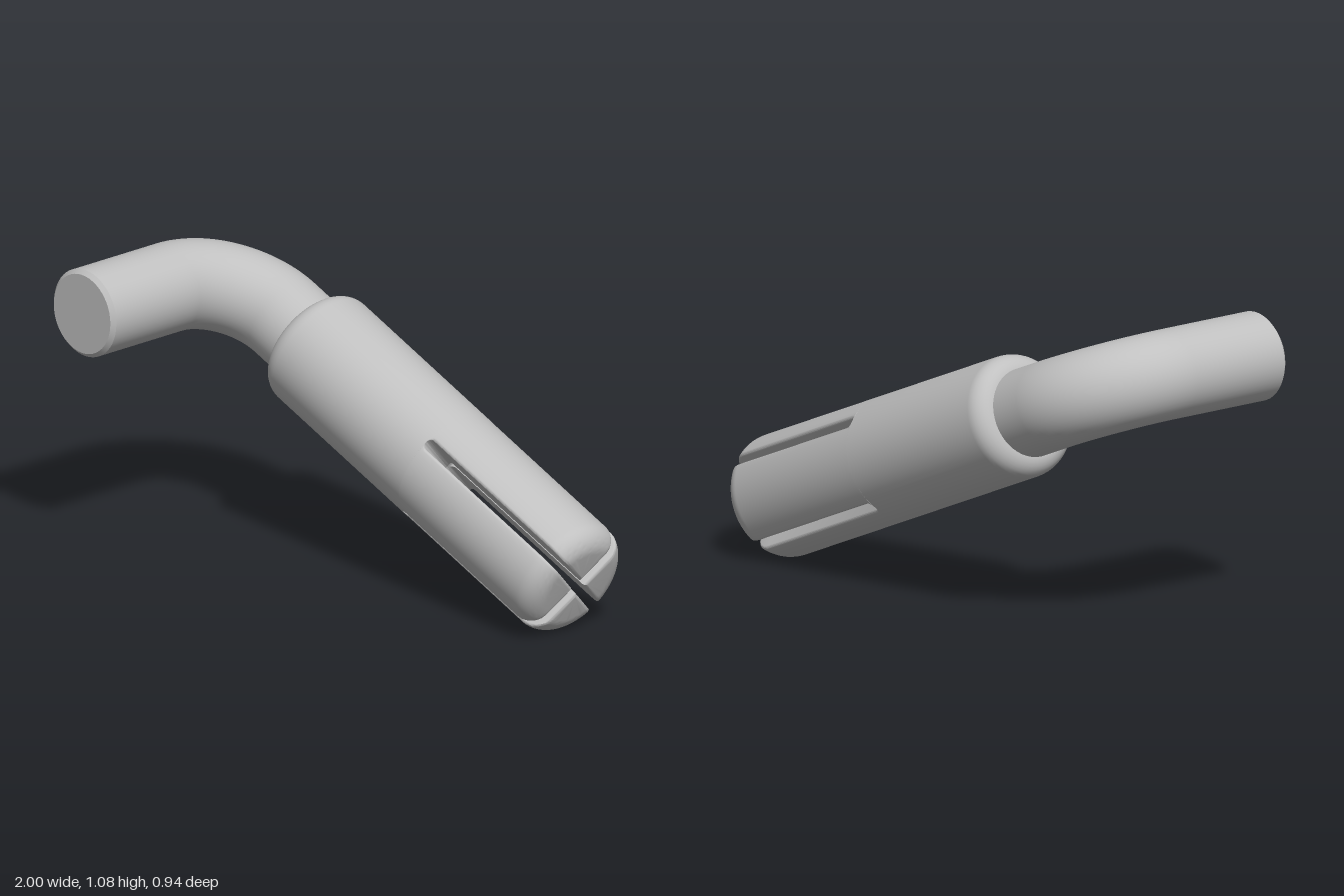
import * as THREE from 'three';
import { toCreasedNormals } from 'three/addons/utils/BufferGeometryUtils.js';

const TILT = Math.PI / 8;            // downward slope of the sleeve
const AXIS_Z = -0.248;
const R = 0.222, LEN = 1.497;        // sleeve
const SLOT_START = 0.768, HALF_GAP = 0.02, SOFT = 0.012, END_R = 0.08, BACK_R = 0.07;
const ROD_R = 0.16;

// One quarter section of the sleeve, held off both slot planes by gap g
function quarterSection(radius, g, c) {
  const reach = Math.sqrt(radius * radius - g * g);
  const a = Math.asin((g + c) / radius);
  const wall = new THREE.Vector2(reach - c, g);
  const start = new THREE.Vector2(Math.cos(a), Math.sin(a)).multiplyScalar(radius);
  const edge = new THREE.QuadraticBezierCurve(wall, new THREE.Vector2(reach, g), start).getPoints(4);
  const arc = [];
  for (let i = 1; i < 16; i++) {
    const t = a + (Math.PI / 2 - 2 * a) * i / 16;
    arc.push(new THREE.Vector2(Math.cos(t), Math.sin(t)).multiplyScalar(radius));
  }
  const mirrored = edge.map(p => new THREE.Vector2(p.y, p.x)).reverse();
  return [new THREE.Vector2(g, g), ...edge, ...arc, ...mirrored];
}

// Prong lofted from the rounded slot root to the rounded tip
function prongGeometry() {
  const stations = [];
  for (let i = 0; i <= 5; i++) {
    const t = i / 5 * Math.PI / 2;
    const g = HALF_GAP * Math.sin(t);
    stations.push([SLOT_START + HALF_GAP * (1 - Math.cos(t)), R, g, Math.max(SOFT * Math.sin(t), 1e-4)]);
  }
  for (let i = 0; i <= 14; i++) {
    const t = i / 14 * Math.PI / 2;
    const e = END_R * (1 - Math.sin(t));
    const d = Math.max(SOFT - e, 0);
    const flare = SOFT - Math.sqrt(SOFT * SOFT - d * d);
    stations.push([LEN - e, R - END_R + END_R * Math.cos(t), HALF_GAP + flare, SOFT]);
  }
  const pos = [], index = [];
  let n = 0;
  for (const [y, radius, g, c] of stations) {
    const section = quarterSection(radius, g, c);
    n = section.length;
    for (const p of section) pos.push(p.x, y, -p.y);
  }
  for (let i = 0; i < stations.length - 1; i++) {
    for (let j = 0; j < n; j++) {
      const a = i * n + j, b = i * n + (j + 1) % n;
      index.push(a, b, b + n, a, b + n, a + n);
    }
  }
  const last = (stations.length - 1) * n;
  for (let j = 1; j < n - 1; j++) index.push(last, last + j, last + j + 1);
  const geo = new THREE.BufferGeometry();
  geo.setAttribute('position', new THREE.Float32BufferAttribute(pos, 3));
  geo.setIndex(index);
  return toCreasedNormals(geo, 0.6);
}

export function createModel() {
  const model = new THREE.Group();
  const metal = new THREE.MeshStandardMaterial({ color: 0xc0c0c0 });
  metal.name = 'grey metal';
  const add = (parent, name, geo) => {
    const mesh = new THREE.Mesh(geo, metal);
    mesh.name = name;
    parent.add(mesh);
    return mesh;
  };

  // Sleeve, built along local y and then tilted
  const sleeve = new THREE.Group();
  sleeve.name = 'sleeve';
  sleeve.position.set(-0.442, 0.757, AXIS_Z);
  sleeve.rotation.z = -(Math.PI / 2 + TILT);
  model.add(sleeve);

  const profile = [new THREE.Vector2(0, 0)];
  for (let i = 0; i <= 8; i++) {
    const t = i / 8 * Math.PI / 2;
    profile.push(new THREE.Vector2(R - BACK_R + BACK_R * Math.sin(t), BACK_R * (1 - Math.cos(t))));
  }
  profile.push(new THREE.Vector2(R, SLOT_START), new THREE.Vector2(0, SLOT_START));
  add(sleeve, 'sleeveBody', toCreasedNormals(new THREE.LatheGeometry(profile, 64), 0.6));

  // Four prongs separated by crossed slots
  const prong = prongGeometry();
  for (let k = 0; k < 4; k++) {
    add(sleeve, 'prong' + (k + 1), prong).rotation.y = Math.PI / 4 + k * Math.PI / 2;
  }

  // Bent rod running into the sleeve
  const BEND = 0.3, K = BEND * 0.5523;
  const dir = new THREE.Vector3(Math.cos(TILT), -Math.sin(TILT), 0);
  const corner = new THREE.Vector3(-0.84, 0.922, AXIS_Z);
  const onZ = d => corner.clone().add(new THREE.Vector3(0, 0, d));
  const onAxis = d => corner.clone().addScaledVector(dir, d);
  const path = new THREE.CurvePath();
  path.add(new THREE.LineCurve3(onZ(0.455 - AXIS_Z), onZ(BEND)));
  path.add(new THREE.CubicBezierCurve3(onZ(BEND), onZ(BEND - K), onAxis(BEND - K), onAxis(BEND)));
  path.add(new THREE.LineCurve3(onAxis(BEND), onAxis(0.5)));
  add(model, 'bentRod', new THREE.TubeGeometry(path, 80, ROD_R, 48));

  // Chamfered rod end
  const tip = add(model, 'rodEnd', new THREE.CylinderGeometry(ROD_R - 0.015, ROD_R, 0.015, 48));
  tip.rotation.x = Math.PI / 2;
  tip.position.set(corner.x, corner.y, 0.4625);

  return model;
}
